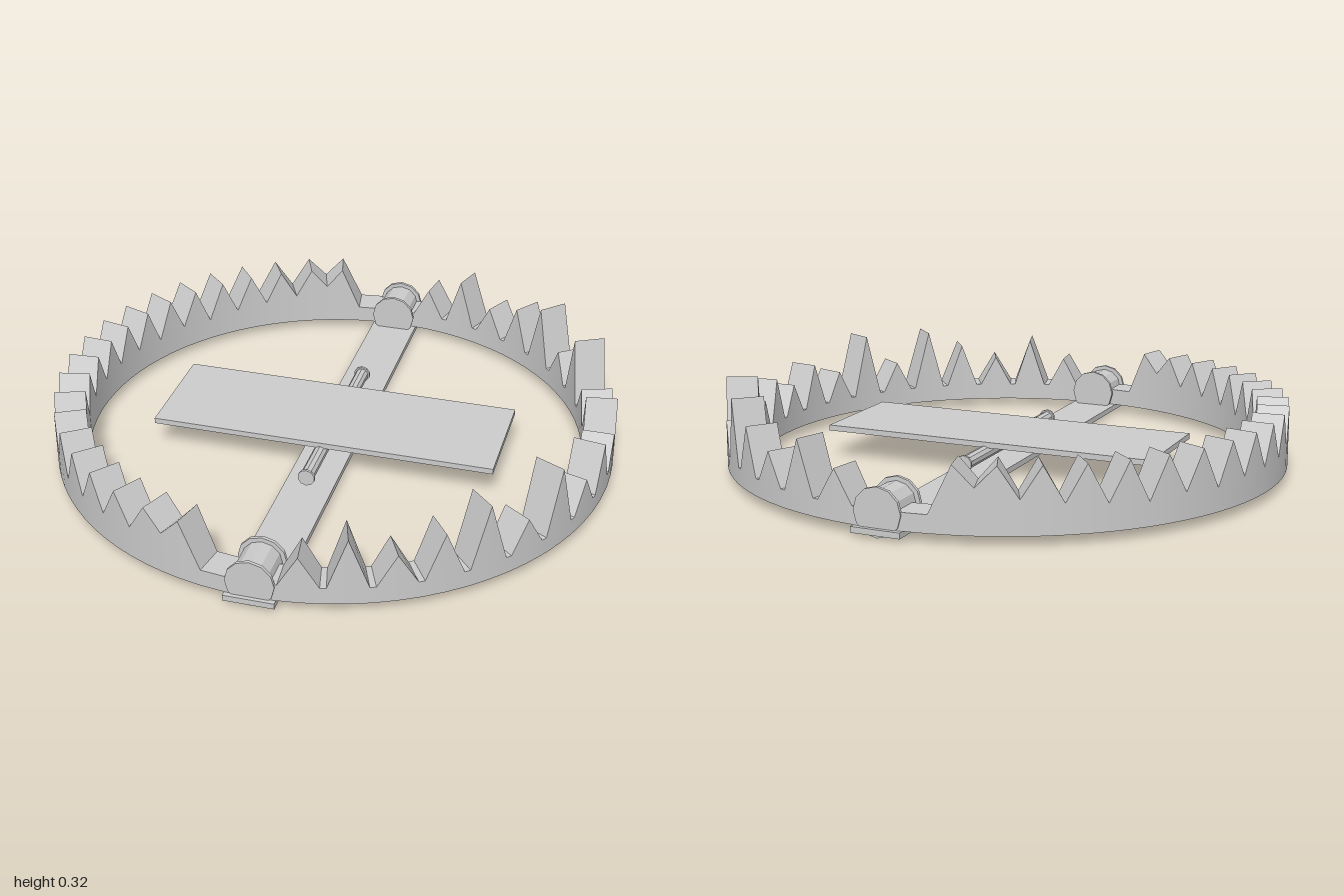
import * as THREE from 'three';

const OUTER = 0.985, INNER = 0.875, BASE = 0.03, RIM = 0.09;

export function createModel() {
  const model = new THREE.Group();
  const smooth = new THREE.MeshStandardMaterial({ color: 0xcccccc });
  const flat = new THREE.MeshStandardMaterial({ color: 0xcccccc, flatShading: true });

  const add = (name, geometry, x, y, z, material = flat) => {
    const mesh = new THREE.Mesh(geometry, material);
    mesh.name = name;
    mesh.position.set(x, y, z);
    model.add(mesh);
    return mesh;
  };

  // Toothed ring: rim heights listed as [degrees from +x towards +z, height]
  const profile = [[-90, RIM]];

  // Left jaw: separate teeth of varying height, mirrored front to back
  const heights = [0.2, 0.25, 0.2, 0.32, 0.2, 0.31, 0.25, 0.2, 0.27, 0.2];
  for (let i = -9; i <= 9; i++) {
    const a = i * 9;
    profile.push([a - 3.9, RIM], [a, heights[Math.abs(i)]], [a + 3.9, RIM]);
  }
  profile.push([90, RIM]);

  // Right jaw: even teeth that run into each other
  const valleys = [0.18, 0.145, 0.13, 0.12, 0.11, 0.12, 0.11, 0.12, 0.12, 0.12];
  profile.push([95, RIM], [99.6, RIM]);
  for (let i = 0; i < 20; i++) {
    const a = 104 + i * 8;
    profile.push([a, 0.25]);
    if (i < 19) profile.push([a + 4, valleys[Math.min(i, 18 - i)]]);
  }
  profile.push([260.4, RIM], [265, RIM], [270, RIM]);
  add('toothedRing', ringGeometry(profile), 0, 0, 0, smooth);

  // Flat bar across the bottom
  add('baseBar', new THREE.BoxGeometry(0.17, 0.02, 2), 0, 0.02, 0);

  // Pressure plate and the rod it pivots on
  add('pressurePlate', new THREE.BoxGeometry(1.22, 0.02, 0.405), 0, 0.108, 0);
  const rod = (name, radius, length, sides, y, z) =>
    add(name, new THREE.CylinderGeometry(radius, radius, length, sides)
      .rotateX(Math.PI / 2), 0, y, z);
  rod('pivotRod', 0.024, 0.73, 10, 0.08, 0);

  // End discs on the rod and capped hinge barrels at both ends of the bar
  for (const s of [1, -1]) {
    rod('pivotRodCap', 0.03, 0.01, 10, 0.08, s * 0.365);
    rod('hingeBarrel', 0.067, 0.14, 12, 0.08, s * 0.915);
    rod('hingeOuterCap', 0.082, 0.012, 12, 0.08, s * 0.98);
    rod('hingeInnerCap', 0.082, 0.012, 12, 0.08, s * 0.845);
  }
  return model;
}

// Sweeps a rectangular section round the circle, its top following the profile
function ringGeometry(profile) {
  const positions = [], normals = [];
  const point = (deg, r, y) => {
    const a = THREE.MathUtils.degToRad(deg);
    return new THREE.Vector3(r * Math.cos(a), y, r * Math.sin(a));
  };
  // Quad with smooth radial normals (sign 1 or -1) or a flat normal (sign 0)
  const quad = (a, b, c, d, sign) => {
    const face = b.clone().sub(a).cross(c.clone().sub(a)).normalize();
    for (const p of [a, b, c, a, c, d]) {
      const n = sign ? new THREE.Vector3(p.x, 0, p.z).normalize().multiplyScalar(sign) : face;
      positions.push(p.x, p.y, p.z);
      normals.push(n.x, n.y, n.z);
    }
  };
  for (let i = 0; i < profile.length - 1; i++) {
    const [a0, h0] = profile[i], [a1, h1] = profile[i + 1];
    const o0 = point(a0, OUTER, BASE), o1 = point(a1, OUTER, BASE);
    const i0 = point(a0, INNER, BASE), i1 = point(a1, INNER, BASE);
    const O0 = point(a0, OUTER, h0), O1 = point(a1, OUTER, h1);
    const I0 = point(a0, INNER, h0), I1 = point(a1, INNER, h1);
    quad(o0, O0, O1, o1, 1);
    quad(i0, i1, I1, I0, -1);
    quad(O0, I0, I1, O1, 0);
    quad(o0, o1, i1, i0, 0);
  }
  const geometry = new THREE.BufferGeometry();
  geometry.setAttribute('position', new THREE.Float32BufferAttribute(positions, 3));
  geometry.setAttribute('normal', new THREE.Float32BufferAttribute(normals, 3));
  return geometry;
}
